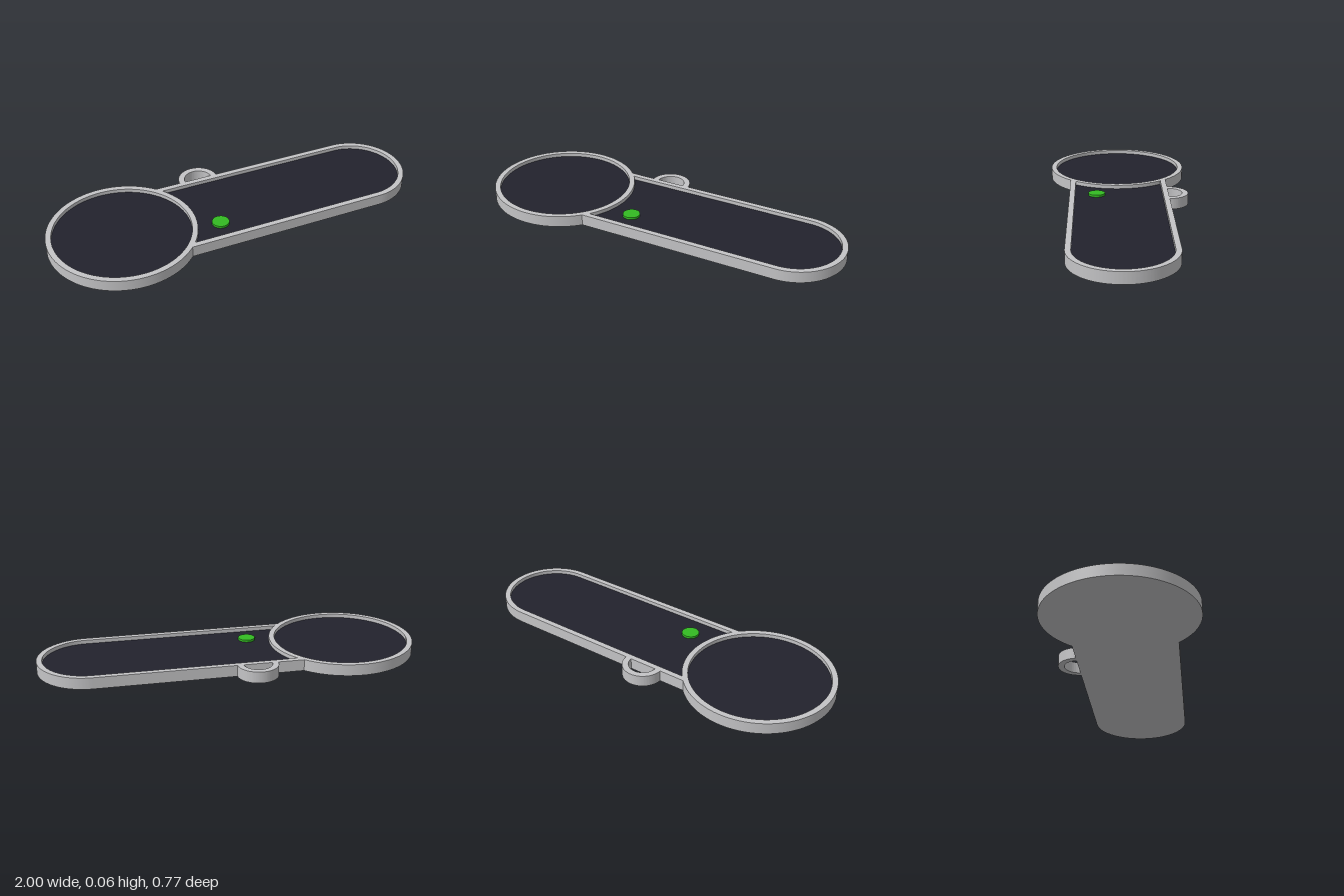
import * as THREE from 'three';
import { toCreasedNormals } from 'three/addons/utils/BufferGeometryUtils.js';

const HEAD_X = -0.615, HEAD_R = 0.385;   // round head
const HALF_W = 0.266, RIM = 0.029;       // handle half width, rim thickness
const END_X = 1 - HALF_W;                // centre of the rounded handle end
const FLOOR = 0.034, INLAY = 0.006, TOP = 0.06;

// Extrude a plan shape upwards from height y (shape +y points to the back)
function slab(shape, y, height) {
  const geo = new THREE.ExtrudeGeometry(shape, { depth: height, bevelEnabled: false, curveSegments: 64 });
  geo.rotateX(-Math.PI / 2);
  geo.translate(0, y, 0);
  return toCreasedNormals(geo, 0.5);
}

// Whole plan: head circle joined to the round-ended handle
function outline() {
  const a = Math.asin(HALF_W / HEAD_R);
  const s = new THREE.Shape();
  s.absarc(HEAD_X, 0, HEAD_R, a, Math.PI * 2 - a, false);
  s.absarc(END_X, 0, HALF_W, -Math.PI / 2, Math.PI / 2, false);
  s.closePath();
  return s;
}

function headPocket() {
  return new THREE.Shape().absarc(HEAD_X, 0, HEAD_R - RIM, 0, Math.PI * 2, false);
}

// Handle recess, bounded on one side by the outside of the head rim
function handlePocket() {
  const r = HALF_W - RIM, a = Math.asin(r / HEAD_R);
  const s = new THREE.Shape();
  s.absarc(END_X, 0, r, -Math.PI / 2, Math.PI / 2, false);
  s.absarc(HEAD_X, 0, HEAD_R, a, -a, true);
  s.closePath();
  return s;
}

export function createModel() {
  const group = new THREE.Group();
  const metal = new THREE.MeshStandardMaterial({ color: 0xc4c4c6 });
  metal.name = 'silver metal';
  const enamel = new THREE.MeshStandardMaterial({ color: 0x22222d });
  enamel.name = 'dark enamel';
  const green = new THREE.MeshStandardMaterial({ color: 0x33bb22 });
  green.name = 'green';

  const add = (name, geo, mat) => {
    const mesh = new THREE.Mesh(geo, mat);
    mesh.name = name;
    group.add(mesh);
    return mesh;
  };

  // Solid base and the raised rim around both recesses
  add('base', slab(outline(), 0, FLOOR), metal);
  const rim = outline();
  rim.holes.push(headPocket(), handlePocket());
  add('rim', slab(rim, FLOOR, TOP - FLOOR), metal);

  // Dark inlays on the recess floors
  add('headInlay', slab(headPocket(), FLOOR, INLAY), enamel);
  add('handleInlay', slab(handlePocket(), FLOOR, INLAY), enamel);

  // Half ring on the back edge for hanging
  const loop = new THREE.Shape();
  loop.absarc(-0.094, HALF_W, 0.106, 0, Math.PI, false);
  loop.absarc(-0.094, HALF_W, 0.074, Math.PI, 0, true);
  loop.closePath();
  add('hangingLoop', slab(loop, 0, TOP), metal);

  // Small green button
  const button = add('button', new THREE.CylinderGeometry(0.045, 0.045, 0.012, 32), green);
  button.position.set(-0.124, FLOOR + INLAY + 0.006, 0.12);

  return group;
}
